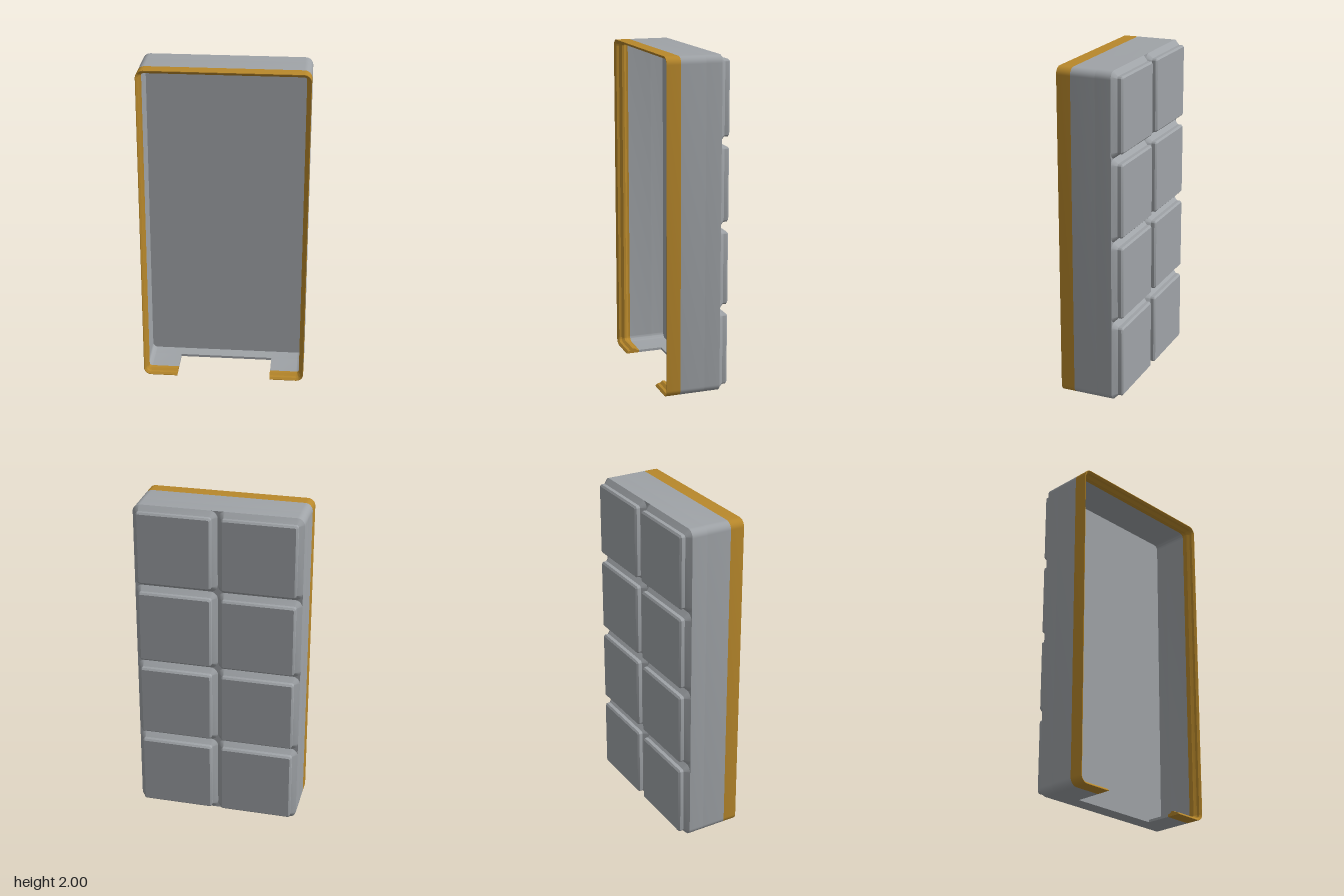
import * as THREE from 'three';
import { toCreasedNormals, mergeGeometries } from 'three/addons/utils/BufferGeometryUtils.js';

const W = 1, H = 2, R = 0.045;         // outer size and corner radius
const NOTCH = 0.29;                    // half width of the bottom cut-out
const BACK = -0.135, FLOOR = -0.12, NOTCH_Z = -0.04, RIM_Z = 0.11, FRONT = 0.195;
const WALL = 0.015;

// Rounded rectangle, counter-clockwise, starting and ending on the bottom edge at +-gap
function outline(w, h, cx, cy, inset, gap) {
  const r = Math.max(R - inset, 0.008), hw = w / 2 - inset, hh = h / 2 - inset;
  const pts = [new THREE.Vector2(cx + gap, cy - hh)];
  [[1, -1], [1, 1], [-1, 1], [-1, -1]].forEach(([sx, sy], k) => {
    for (let i = 0; i <= 8; i++) {
      const a = (k - 1 + i / 8) * Math.PI / 2;
      pts.push(new THREE.Vector2(cx + sx * (hw - r) + r * Math.cos(a), cy + sy * (hh - r) + r * Math.sin(a)));
    }
  });
  pts.push(new THREE.Vector2(cx - gap, cy - hh));
  return pts;
}

// Skin through outlines given as [inset, z]; outer surfaces run towards +z
function loft(profile, { w = W, h = H, cx = 0, cy = H / 2, gap = NOTCH, closed = false } = {}) {
  const pos = [], idx = [];
  const rings = profile.map(([d, z]) => outline(w, h, cx, cy, d, gap).map(p => [p.x, p.y, z]));
  const n = rings[0].length, cols = closed ? n : n - 1;
  rings.forEach(ring => ring.forEach(p => pos.push(...p)));
  for (let k = 0; k < rings.length - 1; k++) {
    for (let i = 0; i < cols; i++) {
      const j = (i + 1) % n, a = k * n + i, b = k * n + j;
      idx.push(a, b, b + n, a, b + n, a + n);
    }
  }
  const g = new THREE.BufferGeometry();
  g.setAttribute('position', new THREE.Float32BufferAttribute(pos, 3));
  g.setIndex(idx);
  return g;
}

// Flat face filling an outline, facing +z or -z
function cap(inset, z, facing, { w = W, h = H, cx = 0, cy = H / 2, gap = NOTCH } = {}) {
  const g = new THREE.ShapeGeometry(new THREE.Shape(outline(w, h, 0, 0, inset, gap)));
  if (facing < 0) g.rotateY(Math.PI);
  return g.translate(cx, cy, z);
}

// Wall cross-section exposed on either side of the cut-out
function notchEnd(profile, side) {
  const pts = profile.map(([d, z]) => new THREE.Vector2(side * z, d));
  const g = new THREE.ShapeGeometry(new THREE.Shape(pts));
  return g.rotateY(-side * Math.PI / 2).translate(side * NOTCH, 0, 0);
}

function part(name, geometries, material) {
  const flat = geometries.map(g => {
    const out = g.toNonIndexed();
    out.deleteAttribute('uv');
    out.deleteAttribute('normal');
    return out;
  });
  const mesh = new THREE.Mesh(toCreasedNormals(mergeGeometries(flat), 0.5), material);
  mesh.name = name;
  return mesh;
}

export function createModel() {
  const group = new THREE.Group();
  group.name = 'segmentedCase';
  const grey = new THREE.MeshStandardMaterial({ color: 0x9fa3a7 });
  const gold = new THREE.MeshStandardMaterial({ color: 0xb8882b });

  // Tray: back, floor and the unbroken lower wall
  group.add(part('tray', [
    loft([[0, BACK], [0, NOTCH_Z], [WALL, NOTCH_Z], [WALL, FLOOR]], { closed: true }),
    cap(0, BACK, -1),
    cap(WALL, FLOOR, 1),
  ], grey));

  // Upper wall, open at the bottom cut-out
  const wall = [[0, NOTCH_Z], [0, RIM_Z], [WALL, RIM_Z], [WALL, NOTCH_Z]];
  group.add(part('sideWall', [loft(wall), notchEnd(wall, 1), notchEnd(wall, -1)], grey));

  // Coloured rim with a stepped snap lip on the inside
  const rim = [[0, RIM_Z], [0, FRONT], [0.003, FRONT], [0.014, 0.184], [0.016, 0.168],
    [0.028, 0.152], [0.028, 0.138], [WALL, 0.122], [WALL, RIM_Z]];
  group.add(part('rim', [loft(rim), notchEnd(rim, 1), notchEnd(rim, -1)], gold));

  // Bevelled tiles on the back, two columns by four rows
  const tiles = new THREE.Group();
  tiles.name = 'backTiles';
  const w = W / 2, h = H / 4;
  for (let row = 0; row < 4; row++) {
    for (const side of [-1, 1]) {
      const cell = { w, h, cx: side * w / 2, cy: (row + 0.5) * h, gap: 0.05, closed: true };
      tiles.add(part('tile', [
        loft([[0.039, -0.195], [0.029, -0.185], [0.029, -0.163], [0, BACK]], cell),
        cap(0.039, -0.195, -1, cell),
      ], grey));
    }
  }
  group.add(tiles);
  return group;
}
